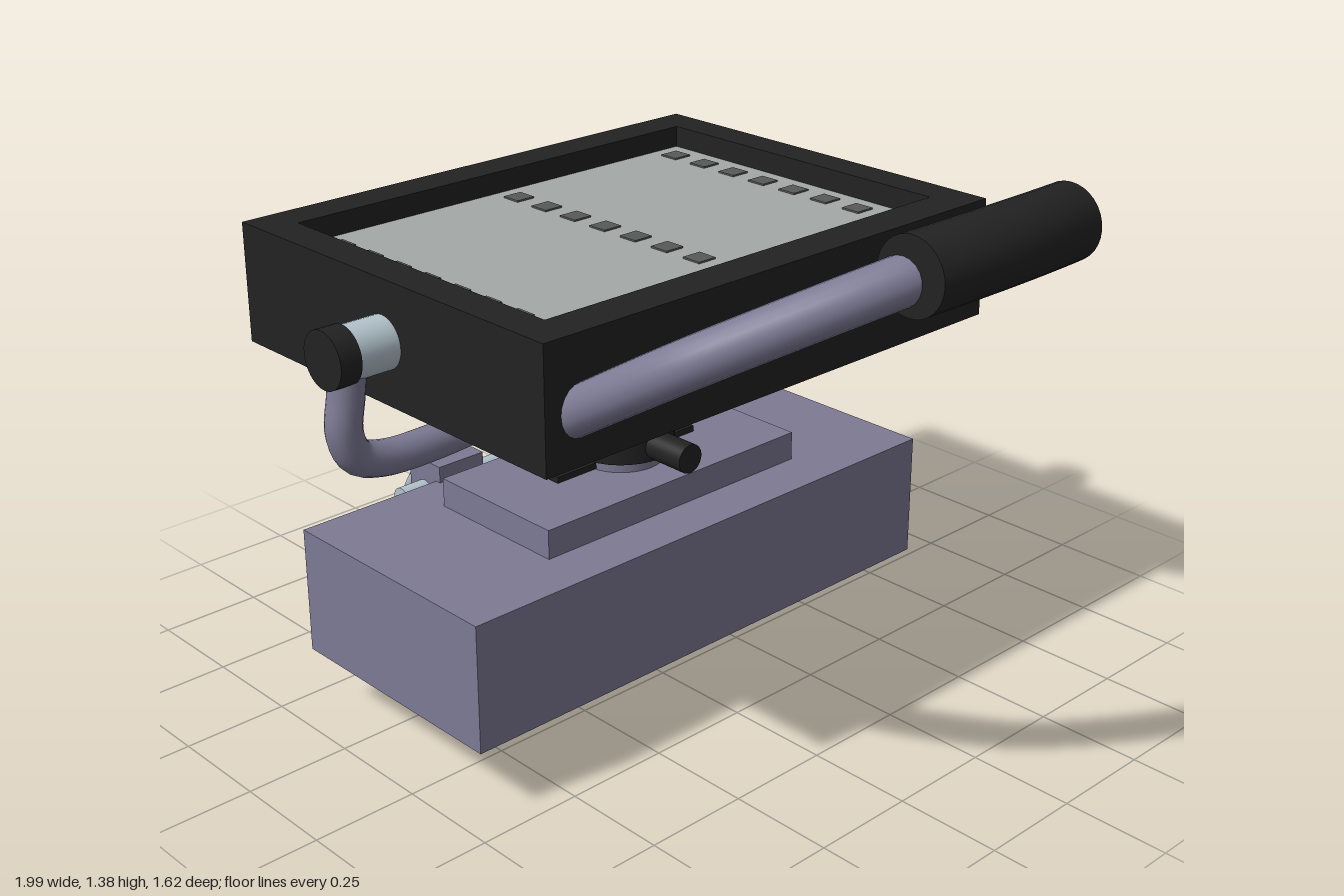
import * as THREE from 'three';

const mat = (name, color) => {
  const m = new THREE.MeshStandardMaterial({ color });
  m.name = name;
  return m;
};

export function createModel() {
  const model = new THREE.Group();
  model.name = 'portableWorkLight';

  const black = mat('black', 0x222222);
  const paint = mat('greyPurple', 0x7d7a94);
  const steel = mat('paleSteel', 0xb4c4ce);
  const lens = mat('lensGrey', 0xa4a8a6);
  const dark = mat('diodeGrey', 0x565a58);

  const add = (name, geometry, material) => {
    const mesh = new THREE.Mesh(geometry, material);
    mesh.name = name;
    model.add(mesh);
    return mesh;
  };
  // Box given by its lower and upper limits on each axis
  const box = (name, m, x0, x1, y0, y1, z0, z1) =>
    add(name, new THREE.BoxGeometry(x1 - x0, y1 - y0, z1 - z0), m)
      .position.set((x0 + x1) / 2, (y0 + y1) / 2, (z0 + z1) / 2);
  // Cylinder along an axis
  const rod = (name, m, r, length, axis, x, y, z) => {
    const g = new THREE.CylinderGeometry(r, r, length, 32);
    if (axis === 'x') g.rotateZ(Math.PI / 2);
    if (axis === 'z') g.rotateX(Math.PI / 2);
    add(name, g, m).position.set(x, y, z);
  };
  // Round bar mirrored across z = 0; the last point lies on the mirror plane
  const bar = (name, m, r, half) => {
    const mirrored = half.slice(0, -1).reverse().map(([x, y, z]) => [x, y, -z]);
    const points = [...half, ...mirrored].map((p) => new THREE.Vector3(...p));
    const curve = new THREE.CatmullRomCurve3(points, false, 'centripetal');
    add(name, new THREE.TubeGeometry(curve, 120, r, 20), m);
  };

  // Base block and step
  box('base', paint, -0.445, 0.17, 0.155, 0.46, -0.69, 0.69);
  box('baseStep', paint, -0.325, 0.045, 0.46, 0.53, -0.385, 0.385);

  // Swivel, collar with clamp knob, and post
  const px = -0.14;
  rod('swivel', paint, 0.1, 0.13, 'y', px, 0.595, 0);
  rod('collar', black, 0.125, 0.075, 'y', px, 0.5975, 0);
  rod('clampKnob', black, 0.035, 0.16, 'x', 0.01, 0.595, 0);
  rod('post', paint, 0.055, 0.25, 'y', px, 0.735, 0);
  box('latchPlate', black, -0.42, -0.12, 0.532, 0.547, -0.215, 0.215);
  rod('latchButton', black, 0.075, 0.045, 'y', -0.32, 0.562, 0);

  // Yoke under the lamp
  bar('yoke', paint, 0.04, [
    [px, 0.97, 0.75], [px, 0.9, 0.76], [px, 0.82, 0.77], [px, 0.76, 0.745],
    [px, 0.735, 0.68], [px, 0.73, 0.55], [px, 0.745, 0.35], [px, 0.762, 0.15], [px, 0.767, 0],
  ]);

  // Lamp housing with a raised rim
  box('lampHousing', black, -0.645, 0.37, 0.85, 1.07, -0.66, 0.66);
  const rect = (path, x0, x1, z) => path.moveTo(x0, -z).lineTo(x1, -z).lineTo(x1, z).lineTo(x0, z).closePath();
  const rim = new THREE.Shape();
  rect(rim, -0.645, 0.37, 0.66);
  const hole = new THREE.Path();
  rect(hole, -0.555, 0.275, 0.575);
  rim.holes.push(hole);
  const rimGeometry = new THREE.ExtrudeGeometry(rim, { depth: 0.06, bevelEnabled: false });
  rimGeometry.rotateX(-Math.PI / 2);
  add('lampRim', rimGeometry, black).position.y = 1.07;

  // Lens with three rows of diodes
  box('lens', lens, -0.555, 0.275, 1.07, 1.078, -0.575, 0.575);
  for (const z of [-0.512, 0, 0.512]) {
    for (let i = 0; i < 8; i++) {
      const x = -0.492 + i * 0.101;
      box('diode', dark, x - 0.025, x + 0.025, 1.077, 1.082, z - 0.025, z + 0.025);
    }
  }

  // Carrying handle rises on a slant
  const slant = (x, z) => [x, 0.957 + (x - 0.35) * 0.617, z];
  bar('handle', paint, 0.05, [
    slant(0.33, 0.57), slant(0.48, 0.565), slant(0.62, 0.53), slant(0.74, 0.425),
    slant(0.84, 0.29), slant(0.89, 0.17), slant(0.912, 0),
  ]);

  // Grip, bent to follow the handle
  const grip = new THREE.CylinderGeometry(0.08, 0.08, 0.47, 32, 12);
  grip.rotateX(Math.PI / 2);
  const gp = grip.attributes.position;
  for (let i = 0; i < gp.count; i++) {
    const bend = (gp.getZ(i) / 0.235) ** 2;
    gp.setX(i, gp.getX(i) - 0.022 * bend);
    gp.setY(i, gp.getY(i) - 0.01 * bend);
  }
  grip.computeVertexNormals();
  add('grip', grip, black).position.set(0.915, 1.303, 0);

  // Parts in pairs: tilt pivots, their knobs and the hinge brackets
  for (const s of [-1, 1]) {
    rod('tiltPivot', steel, 0.06, 0.12, 'z', px, 0.99, s * 0.71);
    rod('tiltKnob', black, 0.065, 0.052, 'z', px, 0.99, s * 0.785);
    const z = s * 0.25;
    box('hingeBracket', paint, -0.545, -0.43, 0.34, 0.5, z - 0.065, z + 0.065);
  }

  // Hinge rod, prop loop and rear pad
  rod('hingeRod', steel, 0.028, 0.77, 'z', -0.49, 0.42, 0);
  bar('propLoop', steel, 0.025, [
    [-0.49, 0.42, 0.2], [-0.57, 0.41, 0.2], [-0.67, 0.365, 0.185], [-0.78, 0.255, 0.145],
    [-0.88, 0.14, 0.09], [-0.95, 0.055, 0.035], [-0.974, 0.027, 0],
  ]);
  box('rearPad', black, -0.555, -0.445, 0.185, 0.305, -0.38, 0.38);

  return model;
}
